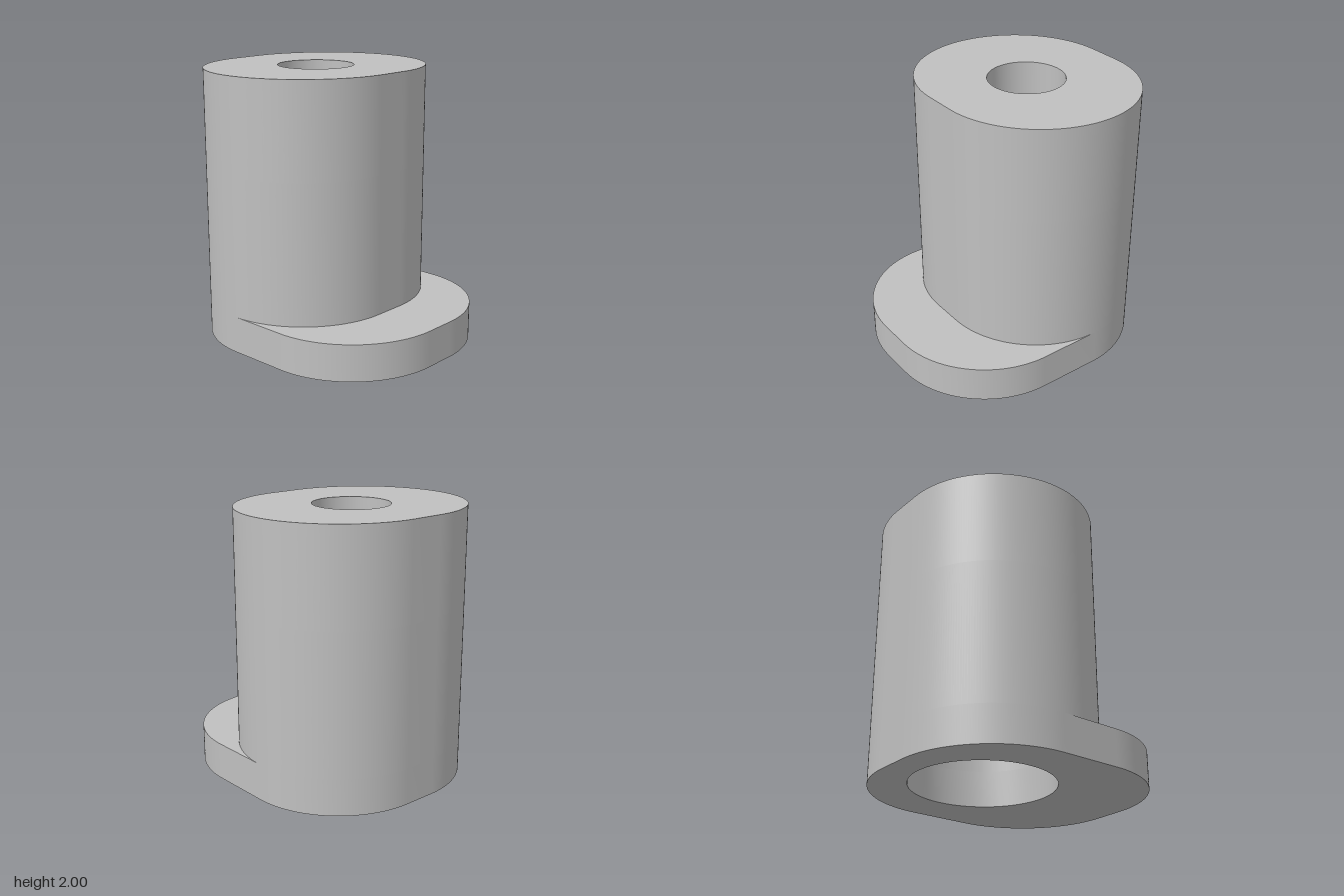
import * as THREE from 'three';
import { toCreasedNormals } from 'three/addons/utils/BufferGeometryUtils.js';

const HALF_WIDTH = 0.85, RADIUS = 0.73, BACK = 0.96;
const BORE_Z = -0.23, FLANGE_TOP = 0.27, SHOULDER = 1.3, HEIGHT = 2;

// Rounded outline reaching from the back to zFront, with a round hole (shape y is -z)
function outline(zFront, holeRadius) {
  const cx = HALF_WIDTH - RADIUS, back = BACK - RADIUS, front = -zFront + RADIUS;
  const shape = new THREE.Shape();
  shape.moveTo(HALF_WIDTH, front);
  if (back - front > 0.001) shape.lineTo(HALF_WIDTH, back);
  shape.absarc(cx, back, RADIUS, 0, Math.PI / 2);
  shape.absarc(-cx, back, RADIUS, Math.PI / 2, Math.PI);
  shape.absarc(-cx, front, RADIUS, Math.PI, Math.PI * 1.5);
  shape.absarc(cx, front, RADIUS, Math.PI * 1.5, Math.PI * 2);
  const hole = new THREE.Path();
  hole.absarc(0, -BORE_Z, holeRadius, 0, Math.PI * 2, true);
  shape.holes.push(hole);
  return shape;
}

export function createModel() {
  const group = new THREE.Group();
  const grey = new THREE.MeshStandardMaterial({ color: 0xc0c0c0 });
  grey.name = 'plain grey';

  function addLayer(name, shape, y0, y1) {
    const geometry = new THREE.ExtrudeGeometry(shape, { depth: y1 - y0, bevelEnabled: false, curveSegments: 32 });
    geometry.rotateX(-Math.PI / 2).translate(0, y0, 0);
    const mesh = new THREE.Mesh(toCreasedNormals(geometry, 0.5), grey);
    mesh.name = name;
    group.add(mesh);
  }

  // Flange, wide-bored lower body, and upper body with the narrow hole
  addLayer('flange', outline(0.96, 0.52), 0, FLANGE_TOP);
  addLayer('lowerBody', outline(0.5, 0.52), FLANGE_TOP, SHOULDER);
  addLayer('upperBody', outline(0.5, 0.28), SHOULDER, HEIGHT);
  return group;
}
